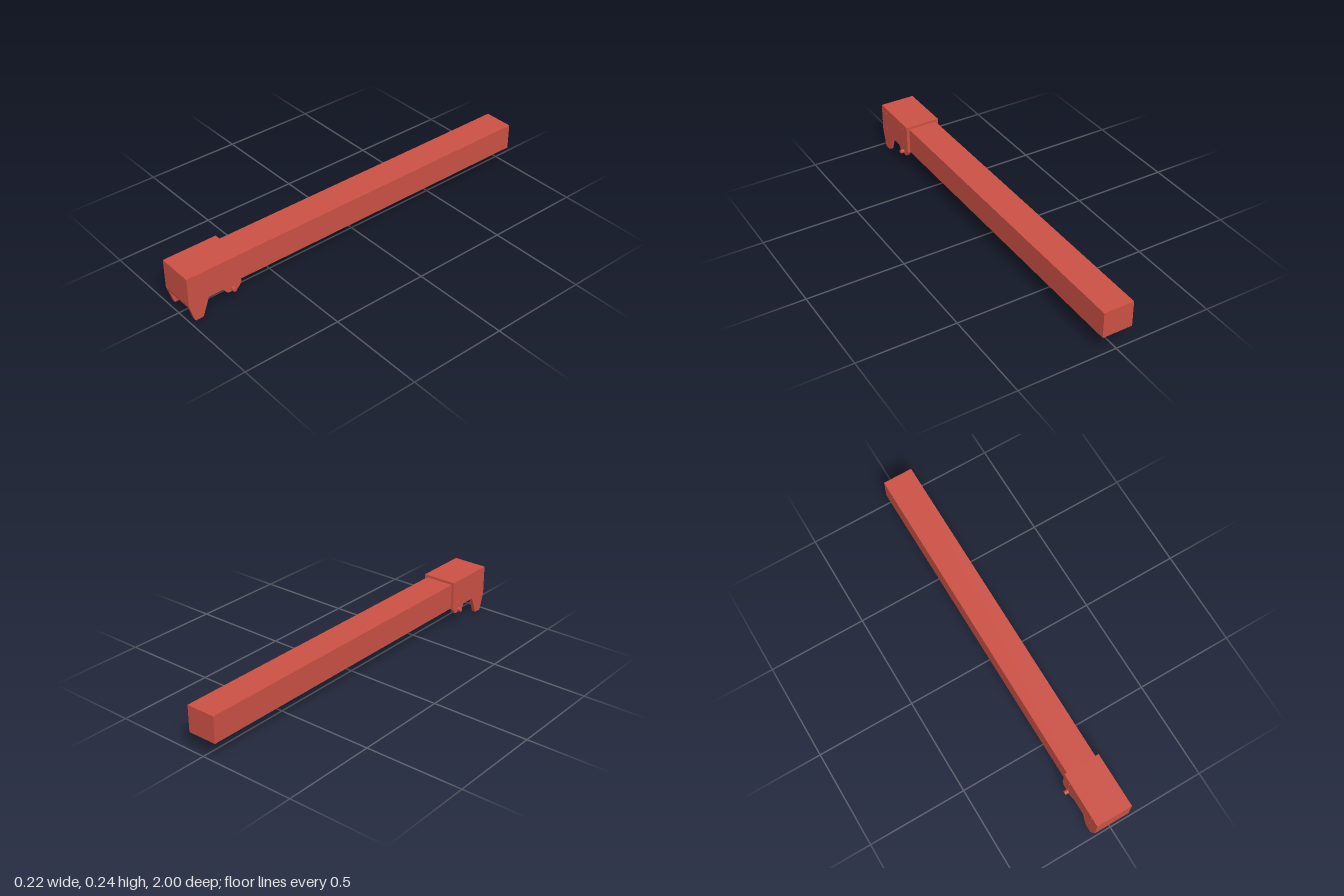
import * as THREE from 'three';

export function createModel() {
  const model = new THREE.Group();
  const red = new THREE.MeshStandardMaterial({ color: 0xcc5145 });
  red.name = 'red paint';

  const add = (name, geometry, x, y, z) => {
    const mesh = new THREE.Mesh(geometry, red);
    mesh.name = name;
    mesh.position.set(x, y, z);
    model.add(mesh);
    return mesh;
  };

  // Extrudes a (z, y) outline along x, from x0 to x0 + width
  const plate = (name, points, x0, width) => {
    const shape = new THREE.Shape(points.map(([z, y]) => new THREE.Vector2(-z, y)));
    const geometry = new THREE.ExtrudeGeometry(shape, { depth: width, bevelEnabled: false });
    geometry.rotateY(Math.PI / 2);
    return add(name, geometry, x0, 0, 0);
  };

  // Cylinder lying along x or z
  const rod = (name, radius, length, axis, x, y, z, sides = 20) => {
    const geometry = new THREE.CylinderGeometry(radius, radius, length, sides);
    if (axis === 'x') geometry.rotateZ(Math.PI / 2);
    else geometry.rotateX(Math.PI / 2);
    return add(name, geometry, x, y, z);
  };

  // Long square beam
  add('beam', new THREE.BoxGeometry(0.154, 0.135, 1.982), 0, 0.1605, -0.009);

  // End cap: roof and a front wall whose lower lip leans back
  add('capRoof', new THREE.BoxGeometry(0.15, 0.013, 0.28), 0, 0.2345, 0.86);
  plate('capFront', [[1, 0.241], [1, 0.09], [0.995, 0.074], [0.978, 0.074], [0.982, 0.09], [0.982, 0.241]], -0.075, 0.15);

  // Cap cheeks with front claw and rear pin lug
  const cheek = [
    [1, 0.241], [1, 0.09], [0.974, 0.003], [0.97, 0], [0.934, 0], [0.928, 0.004],
    [0.895, 0.093], [0.817, 0.093], [0.799, 0.068], [0.792, 0.063],
    [0.742, 0.063], [0.735, 0.067], [0.72, 0.09], [0.72, 0.241],
  ];
  for (const side of [-1, 1]) {
    plate(side > 0 ? 'leftCheek' : 'rightCheek', cheek, side > 0 ? 0.074 : -0.092, 0.018);
    // Rivets
    for (const z of [0.767, 0.95]) {
      for (const y of [0.121, 0.211]) rod('rivet', 0.005, 0.006, 'x', side * 0.091, y, z, 12);
    }
  }

  // Cross pin and the pull rod beneath the beam
  rod('crossPin', 0.0105, 0.222, 'x', 0, 0.0785, 0.767);
  rod('pullRod', 0.0095, 1.672, 'z', 0, 0.0795, -0.069);

  return model;
}
